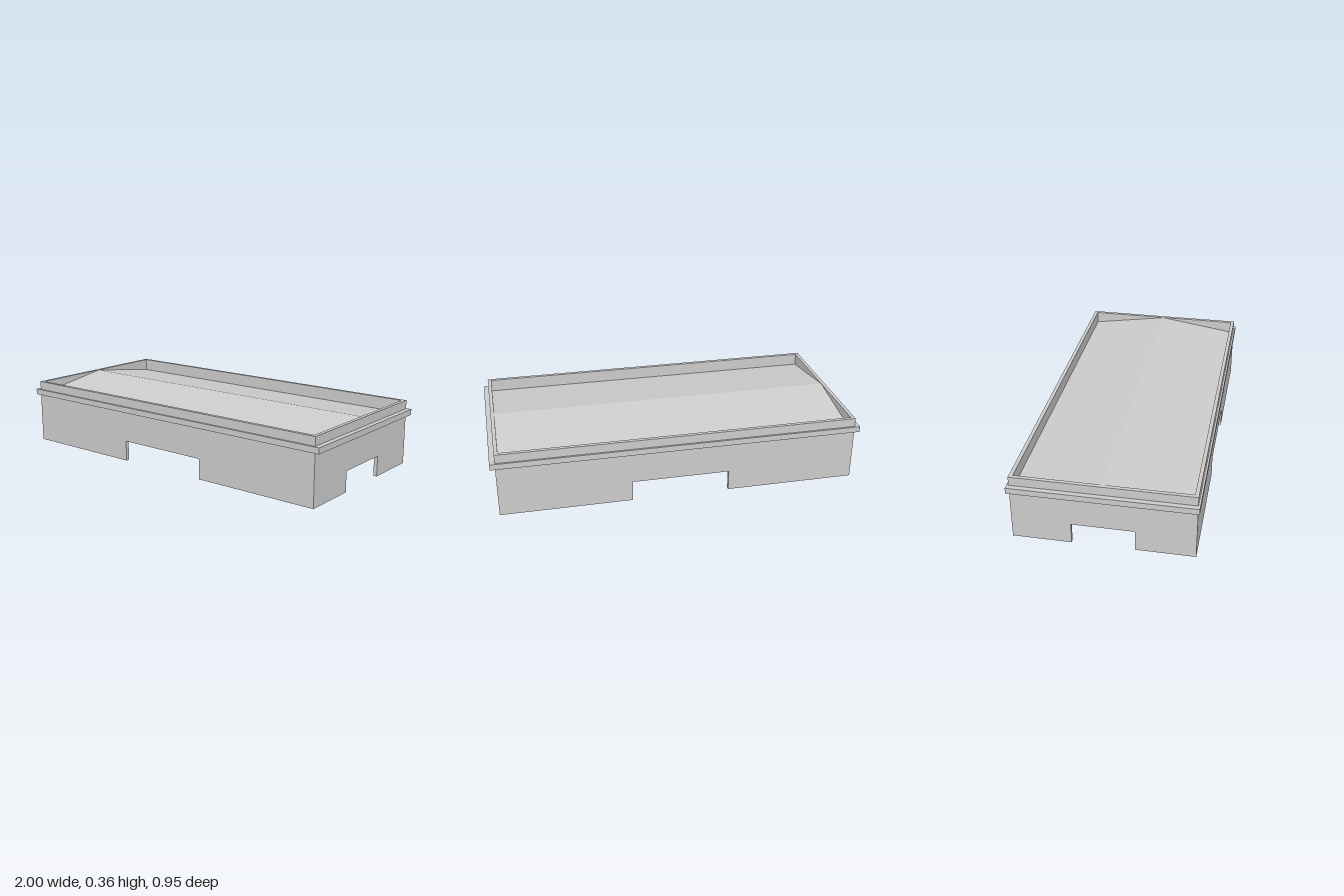
import * as THREE from 'three';

const W = 0.973, D = 0.465, H = 0.36, T = 0.02; // half width, half depth, wall height, wall thickness

function polygon(points) {
  return new THREE.Shape(points.map(([x, y]) => new THREE.Vector2(x, y)));
}

// Extrusion centred on its depth axis
function extrude(shape, depth) {
  const geometry = new THREE.ExtrudeGeometry(shape, { depth, bevelEnabled: false });
  return geometry.translate(0, 0, -depth / 2);
}

// Upright wall with a rectangular opening cut from its bottom edge
function wallGeometry(half, notch) {
  const n = 0.113;
  return extrude(polygon([
    [-half, 0], [-notch, 0], [-notch, n], [notch, n],
    [notch, 0], [half, 0], [half, H], [-half, H],
  ]), T);
}

export function createModel() {
  const model = new THREE.Group();
  model.name = 'roofedBase';
  const material = new THREE.MeshStandardMaterial({ color: 0xcccccc, flatShading: true });
  const add = (name, geometry) => {
    const mesh = new THREE.Mesh(geometry, material);
    mesh.name = name;
    model.add(mesh);
    return mesh;
  };

  // Four notched walls, the end walls fitting between the long ones
  for (const s of [1, -1]) {
    add(s > 0 ? 'frontWall' : 'backWall', wallGeometry(W, 0.265)).position.z = s * (D - T / 2);
    const end = add(s > 0 ? 'leftWall' : 'rightWall', wallGeometry(D - T, 0.161));
    end.rotation.y = Math.PI / 2;
    end.position.x = s * (W - T / 2);
  }

  // Cornice band around the outside
  const band = polygon([[-1, -0.475], [1, -0.475], [1, 0.475], [-1, 0.475]]);
  band.holes.push(new THREE.Path(
    [[-W, -D], [-W, D], [W, D], [W, -D]].map(([x, y]) => new THREE.Vector2(x, y))));
  const cornice = add('cornice', extrude(band, 0.032));
  cornice.rotation.x = -Math.PI / 2;
  cornice.position.y = 0.296;

  // Shallow gabled roof set inside the parapet, ridge along x
  const e = D - T;
  const roof = add('roof', extrude(polygon([
    [-e, 0.272], [0, 0.339], [e, 0.272], [e, 0.292], [0, 0.359], [-e, 0.292],
  ]), 2 * (W - T)));
  roof.rotation.y = Math.PI / 2;

  return model;
}
